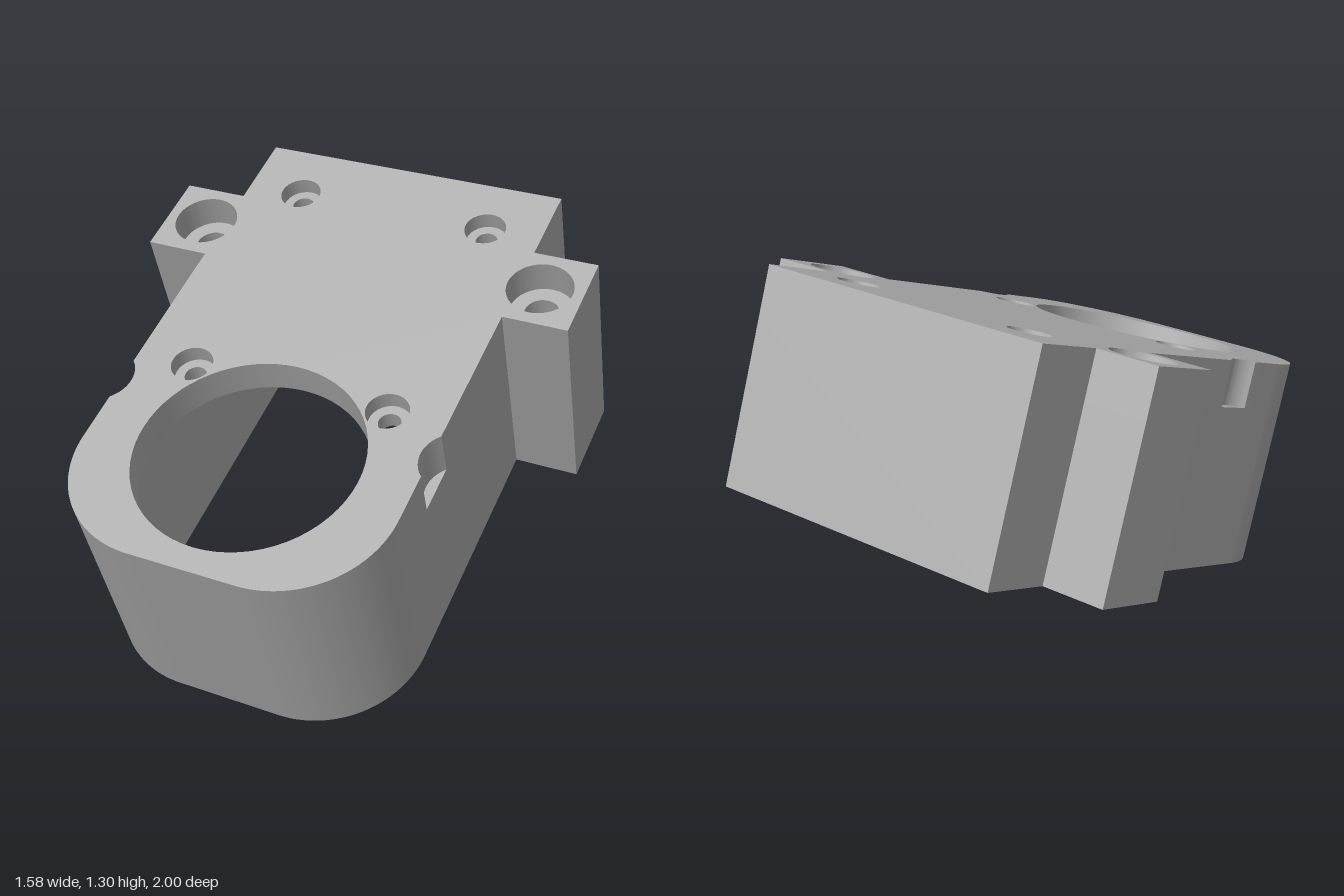
import * as THREE from 'three';
import { toCreasedNormals } from 'three/addons/utils/BufferGeometryUtils.js';

// Housing plan, centred on x; plan y runs towards the back
const W = 0.5415, FRONT = -1.052, BACK = 0.729, CORNER = 0.36;
const EAR = { x: 0.761, y0: 0.158, y1: 0.46 };
const NOTCH = { x: W + 0.075, y: -0.44, r: 0.11 };
const BORE = { y: -0.599, r: 0.37 };
const POCKET = { x: 0.427, y0: -0.939, y1: 0.616 };

// Outer outline with rounded front, two ears and optional side notches
function outline(notched) {
  const s = new THREE.Shape();
  const a = Math.acos((NOTCH.x - W) / NOTCH.r);
  s.moveTo(CORNER - W, FRONT);
  s.lineTo(W - CORNER, FRONT);
  s.absarc(W - CORNER, FRONT + CORNER, CORNER, -Math.PI / 2, 0, false);
  if (notched) s.absarc(NOTCH.x, NOTCH.y, NOTCH.r, Math.PI + a, Math.PI - a, true);
  s.lineTo(W, EAR.y0);
  s.lineTo(EAR.x, EAR.y0);
  s.lineTo(EAR.x, EAR.y1);
  s.lineTo(W, EAR.y1);
  s.lineTo(W, BACK);
  s.lineTo(-W, BACK);
  s.lineTo(-W, EAR.y1);
  s.lineTo(-EAR.x, EAR.y1);
  s.lineTo(-EAR.x, EAR.y0);
  s.lineTo(-W, EAR.y0);
  if (notched) s.absarc(-NOTCH.x, NOTCH.y, NOTCH.r, a, -a, true);
  s.absarc(CORNER - W, FRONT + CORNER, CORNER, Math.PI, Math.PI * 1.5, false);
  return s;
}

function circle(x, y, r) {
  return new THREE.Path().absarc(x, y, r, 0, Math.PI * 2, false);
}

// Ear holes, and the four screw holes of the top plate
const earHoles = (r) => [-1, 1].map((s) => circle(s * 0.615, 0.31, r));
const screwHoles = (r) =>
  [-1, 1].flatMap((s) => [circle(s * 0.345, 0.525, r), circle(s * 0.345, -0.315, r)]);

// Rectangular cavity, optionally widened at the front by the big bore
function pocket(withBore) {
  const p = new THREE.Path();
  p.moveTo(-POCKET.x, POCKET.y1);
  p.lineTo(-POCKET.x, POCKET.y0);
  if (withBore) {
    const a = Math.asin((BORE.y - POCKET.y0) / BORE.r);
    p.absarc(0, BORE.y, BORE.r, -Math.PI + a, -a, false);
  }
  p.lineTo(POCKET.x, POCKET.y0);
  p.lineTo(POCKET.x, POCKET.y1);
  p.closePath();
  return p;
}

export function createModel() {
  const grey = new THREE.MeshStandardMaterial({ color: 0xb0b0b0 });
  grey.name = 'grey';
  const housing = new THREE.Group();
  housing.name = 'housing';

  // One slab of the housing between two depths below the top face
  function layer(name, top, bottom, notched, holes) {
    const shape = outline(notched);
    shape.holes.push(...holes);
    const geo = new THREE.ExtrudeGeometry(shape, {
      depth: bottom - top, bevelEnabled: false, curveSegments: 32,
    });
    geo.rotateX(-Math.PI / 2);
    geo.translate(0, -bottom, 0);
    const mesh = new THREE.Mesh(toCreasedNormals(geo, 0.5), grey);
    mesh.name = name;
    housing.add(mesh);
  }

  const bore = () => circle(0, BORE.y, BORE.r);
  layer('topPlate', 0, 0.057, true, [bore(), ...earHoles(0.11), ...screwHoles(0.07)]);
  layer('screwSeats', 0.057, 0.113, true, [bore(), ...earHoles(0.11), ...screwHoles(0.037)]);
  layer('upperWalls', 0.113, 0.16, true, [pocket(true), ...earHoles(0.058)]);
  layer('lowerWalls', 0.16, 0.722, false, [pocket(false), ...earHoles(0.058)]);

  // Tilt the housing forward and turn it slightly
  housing.rotation.set(THREE.MathUtils.degToRad(20.7), THREE.MathUtils.degToRad(7), 0, 'YXZ');

  const model = new THREE.Group();
  model.name = 'bearingHousing';
  model.add(housing);

  // Stand it on the ground and centre it
  model.updateMatrixWorld(true);
  const box = new THREE.Box3().setFromObject(model, true);
  const mid = box.getCenter(new THREE.Vector3());
  housing.position.set(-mid.x, -box.min.y, -mid.z);
  return model;
}
